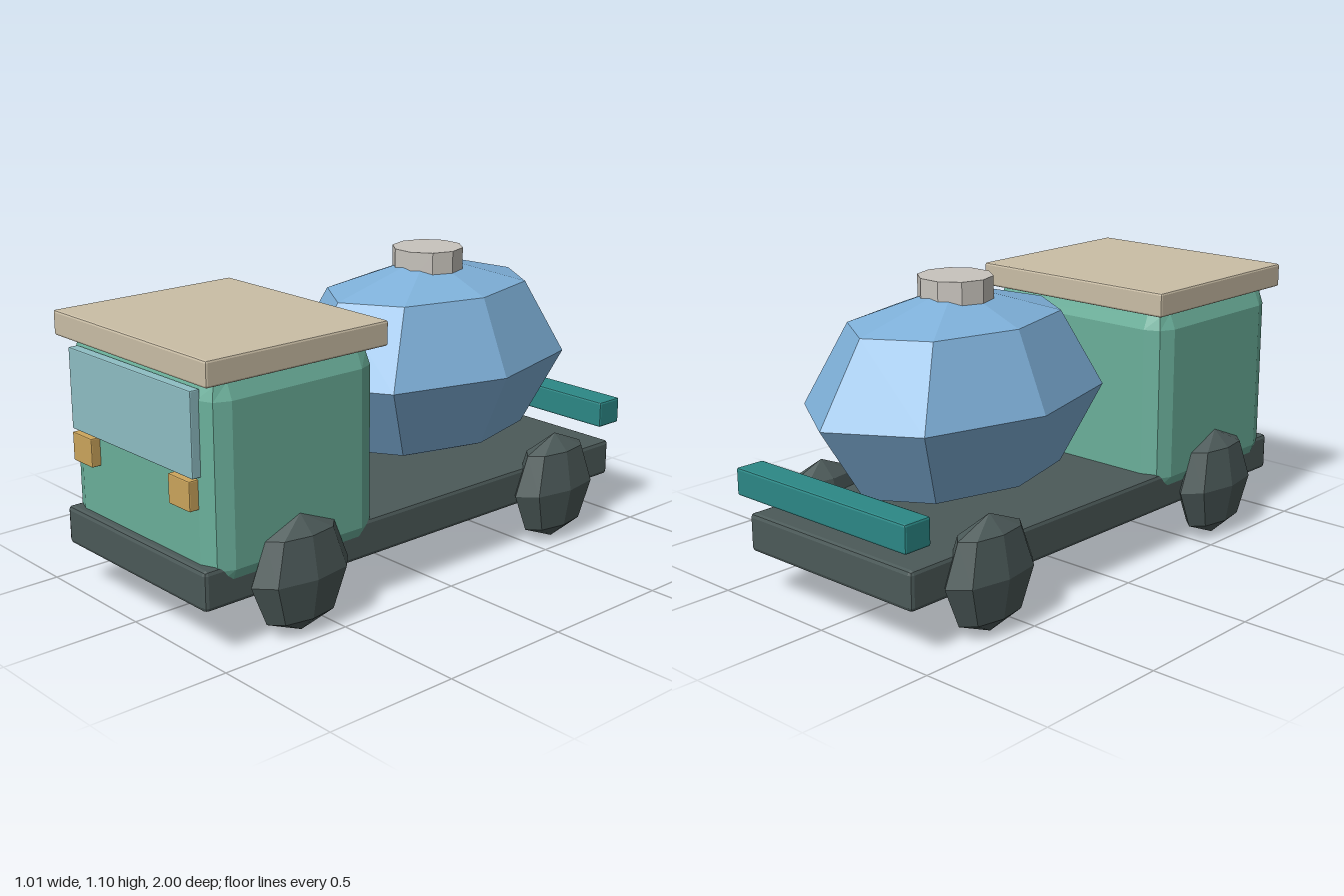
import * as THREE from 'three';
import { RoundedBoxGeometry } from 'three/addons/geometries/RoundedBoxGeometry.js';

const paint = (name, color) => {
  const m = new THREE.MeshStandardMaterial({ color, flatShading: true });
  m.name = name;
  return m;
};

export function createModel() {
  const truck = new THREE.Group();
  truck.name = 'tankTruck';

  const charcoal = paint('charcoal', 0x4c5a59);
  const green = paint('cabGreen', 0x6bb09b);
  const sand = paint('roofSand', 0xcabea6);
  const glass = paint('windowGlass', 0x8fbec4);
  const amber = paint('lampAmber', 0xcca55c);
  const blue = paint('tankBlue', 0x7fb1da);
  const grey = paint('capGrey', 0xc8c4bd);
  const teal = paint('bumperTeal', 0x2c8886);

  const add = (name, geometry, material, x, y, z) => {
    const mesh = new THREE.Mesh(geometry, material);
    mesh.name = name;
    mesh.position.set(x, y, z);
    truck.add(mesh);
    return mesh;
  };

  // Chamfered box given by its min and max on each axis
  const block = (name, material, [x0, x1], [y0, y1], [z0, z1], bevel) =>
    add(name, new RoundedBoxGeometry(x1 - x0, y1 - y0, z1 - z0, 1, bevel), material,
      (x0 + x1) / 2, (y0 + y1) / 2, (z0 + z1) / 2);

  // Faceted ellipsoid with eight sides and four bands
  const ellipsoid = (name, material, rx, ry, rz, x, y, z) =>
    add(name, new THREE.SphereGeometry(1, 8, 4).scale(rx, ry, rz), material, x, y, z);

  // Chassis and cab
  block('chassis', charcoal, [-0.4, 0.4], [0.165, 0.305], [-0.965, 0.998], 0.015);
  block('cab', green, [-0.415, 0.415], [0.21, 0.93], [0.27, 0.965], 0.08);
  block('roof', sand, [-0.43, 0.43], [0.912, 1.0], [0.245, 0.993], 0.008);
  block('windshield', glass, [-0.345, 0.345], [0.6, 0.887], [0.955, 0.993], 0.004);
  for (const s of [-1, 1]) {
    const cx = s * 0.278;
    block(s > 0 ? 'leftHeadlight' : 'rightHeadlight', amber,
      [cx - 0.057, cx + 0.057], [0.49, 0.592], [0.955, 1.0], 0.004);
  }

  // Tank with its filler cap
  ellipsoid('tank', blue, 0.415, 0.39, 0.625, 0, 0.68, -0.35);
  const cap = add('fillerCap', new THREE.CylinderGeometry(0.132, 0.132, 0.11, 10), grey, 0, 1.045, -0.35);
  cap.rotation.y = Math.PI / 10;

  // Rear bumper bar
  block('rearBumper', teal, [-0.415, 0.415], [0.375, 0.475], [-1.0, -0.888], 0.008);

  // Wheels
  for (const s of [-1, 1]) {
    for (const z of [0.62, -0.625]) {
      ellipsoid(`${z > 0 ? 'front' : 'rear'}${s > 0 ? 'Left' : 'Right'}Wheel`, charcoal,
        0.09, 0.207, 0.207, s * 0.415, 0.207, z);
    }
  }

  return truck;
}
